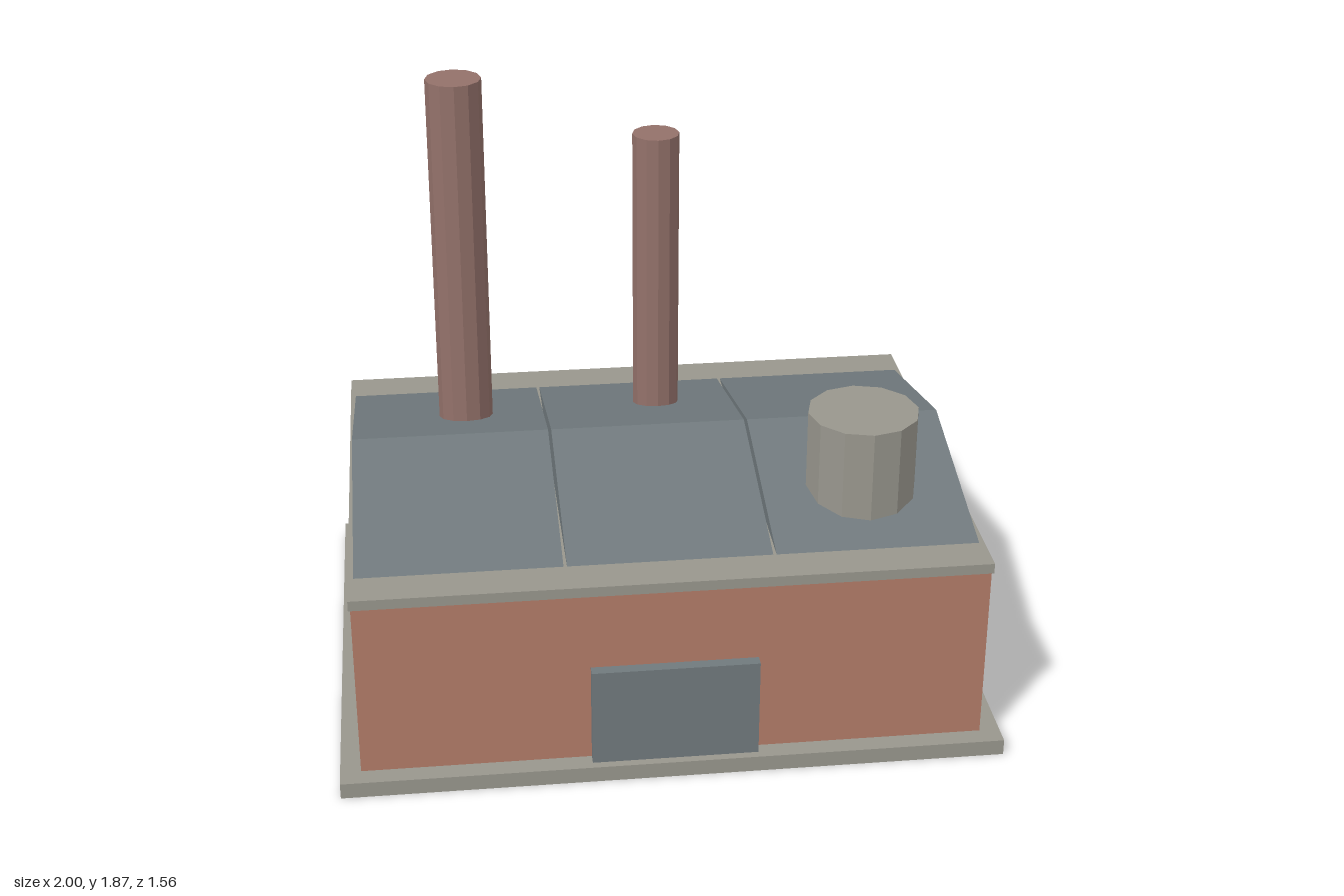
import * as THREE from 'three';

const paint = (name, color) => {
  const m = new THREE.MeshStandardMaterial({ color, flatShading: true });
  m.name = name;
  return m;
};

export function createModel() {
  const model = new THREE.Group();
  model.name = 'factory';

  const concrete = paint('concrete', 0x98968d);
  const brick = paint('brick', 0xb27b68);
  const steel = paint('steel', 0x70797d);
  const stackBrown = paint('stackBrown', 0x93716a);

  const add = (name, geometry, material, x, y, z) => {
    const mesh = new THREE.Mesh(geometry, material);
    mesh.name = name;
    mesh.position.set(x, y, z);
    model.add(mesh);
  };
  // Box standing on y0
  const box = (name, material, w, d, y0, y1, z = 0) =>
    add(name, new THREE.BoxGeometry(w, y1 - y0, d), material, 0, (y0 + y1) / 2, z);
  // Upright twelve-sided cylinder
  const drum = (name, material, r, x, z, y0, y1) =>
    add(name, new THREE.CylinderGeometry(r, r, y1 - y0, 12), material, x, (y0 + y1) / 2, z);

  // Building body
  box('foundation', concrete, 2, 1.56, 0, 0.05);
  box('walls', brick, 1.876, 1.44, 0.05, 0.61);
  box('roofSlab', concrete, 1.888, 1.452, 0.61, 0.642);
  box('loadingDoor', steel, 0.5, 0.06, 0.05, 0.365, 0.725);

  // Three gabled roof bays with narrow gaps between them
  const gable = new THREE.Shape([
    new THREE.Vector2(-0.6, 0),
    new THREE.Vector2(0.6, 0),
    new THREE.Vector2(0, 0.145),
  ]);
  const bayWidth = 0.612;
  const bay = new THREE.ExtrudeGeometry(gable, { depth: bayWidth, bevelEnabled: false });
  bay.translate(0, 0, -bayWidth / 2).rotateY(Math.PI / 2);
  for (const i of [-1, 0, 1]) add('roofBay', bay, steel, i * 0.622, 0.642, 0);

  // Chimneys and rooftop tank
  drum('tallChimney', stackBrown, 0.086, -0.565, -0.252, 0.642, 1.865);
  drum('shortChimney', stackBrown, 0.074, 0.06, -0.313, 0.642, 1.645);
  drum('roofTank', concrete, 0.17, 0.622, 0.311, 0.642, 0.958);

  return model;
}
